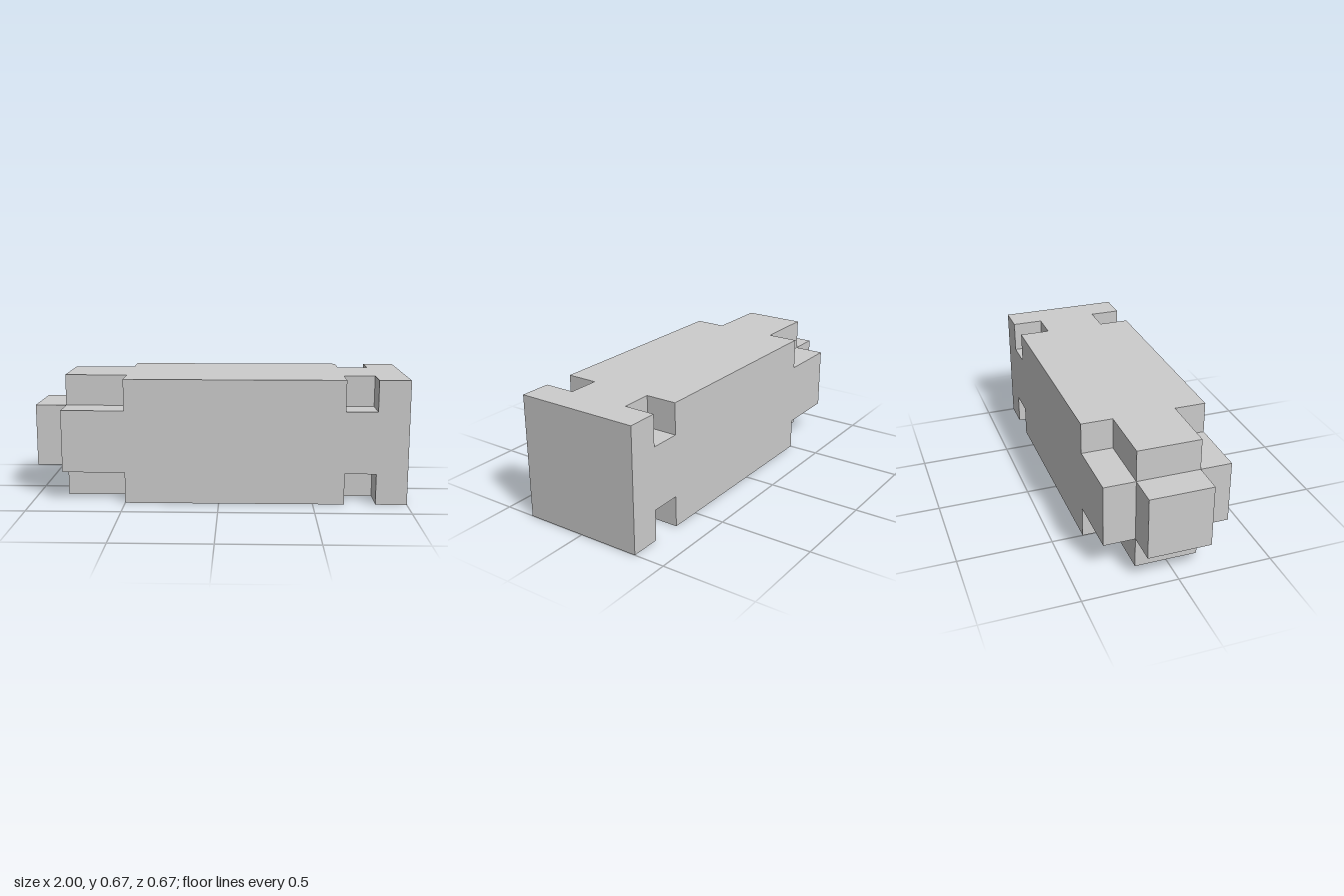
import * as THREE from 'three';

const U = 1 / 6; // the block is a 12 x 4 x 4 unit bar
const xCuts = [-6, -5, -3, 4, 5, 6];
const yCuts = [0, 1, 3, 4];
const zCuts = [-2, -1, 1, 2];
const cuts = [xCuts, yCuts, zCuts].map((c) => c.map((v) => v * U));

// Cross-sections on a 3 x 3 grid of cells (index 1 is the wide middle)
const core = (j, k) => j === 1 && k === 1;
const cross = (j, k) => j === 1 || k === 1;
const full = () => true;

// Segments along x, from the tab to the solid end
const segments = [
  { name: 'endTab', section: core },
  { name: 'crossEnd', section: cross },
  { name: 'mainBody', section: full },
  { name: 'notchedNeck', section: cross },
  { name: 'solidEnd', section: full },
];

function solid([i, j, k]) {
  if (i < 0 || i > 4 || j < 0 || j > 2 || k < 0 || k > 2) return false;
  return segments[i].section(j, k);
}

// Two triangles for one side of a cell, wound to face outwards
function addFace(out, cell, axis, dir) {
  const u = (axis + 1) % 3, v = (axis + 2) % 3;
  const corner = (a, b) => {
    const step = [0, 0, 0];
    step[axis] = dir > 0 ? 1 : 0;
    step[u] = a;
    step[v] = b;
    return cell.map((c, n) => cuts[n][c + step[n]]);
  };
  const q = [corner(0, 0), corner(1, 0), corner(1, 1), corner(0, 1)];
  if (dir < 0) q.reverse();
  for (const n of [0, 1, 2, 0, 2, 3]) out.push(...q[n]);
}

// Only the exposed sides are made, so nothing is hidden inside
function segmentGeometry(i) {
  const out = [];
  for (let j = 0; j < 3; j++) for (let k = 0; k < 3; k++) {
    const cell = [i, j, k];
    if (!solid(cell)) continue;
    for (let axis = 0; axis < 3; axis++) for (const dir of [-1, 1]) {
      const next = cell.slice();
      next[axis] += dir;
      if (!solid(next)) addFace(out, cell, axis, dir);
    }
  }
  const geometry = new THREE.BufferGeometry();
  geometry.setAttribute('position', new THREE.Float32BufferAttribute(out, 3));
  geometry.computeVertexNormals();
  return geometry;
}

export function createModel() {
  const group = new THREE.Group();
  group.name = 'notchedBar';
  const material = new THREE.MeshStandardMaterial({ color: 0xcccccc, flatShading: true });
  segments.forEach(({ name }, i) => {
    const mesh = new THREE.Mesh(segmentGeometry(i), material);
    mesh.name = name;
    group.add(mesh);
  });
  return group;
}
